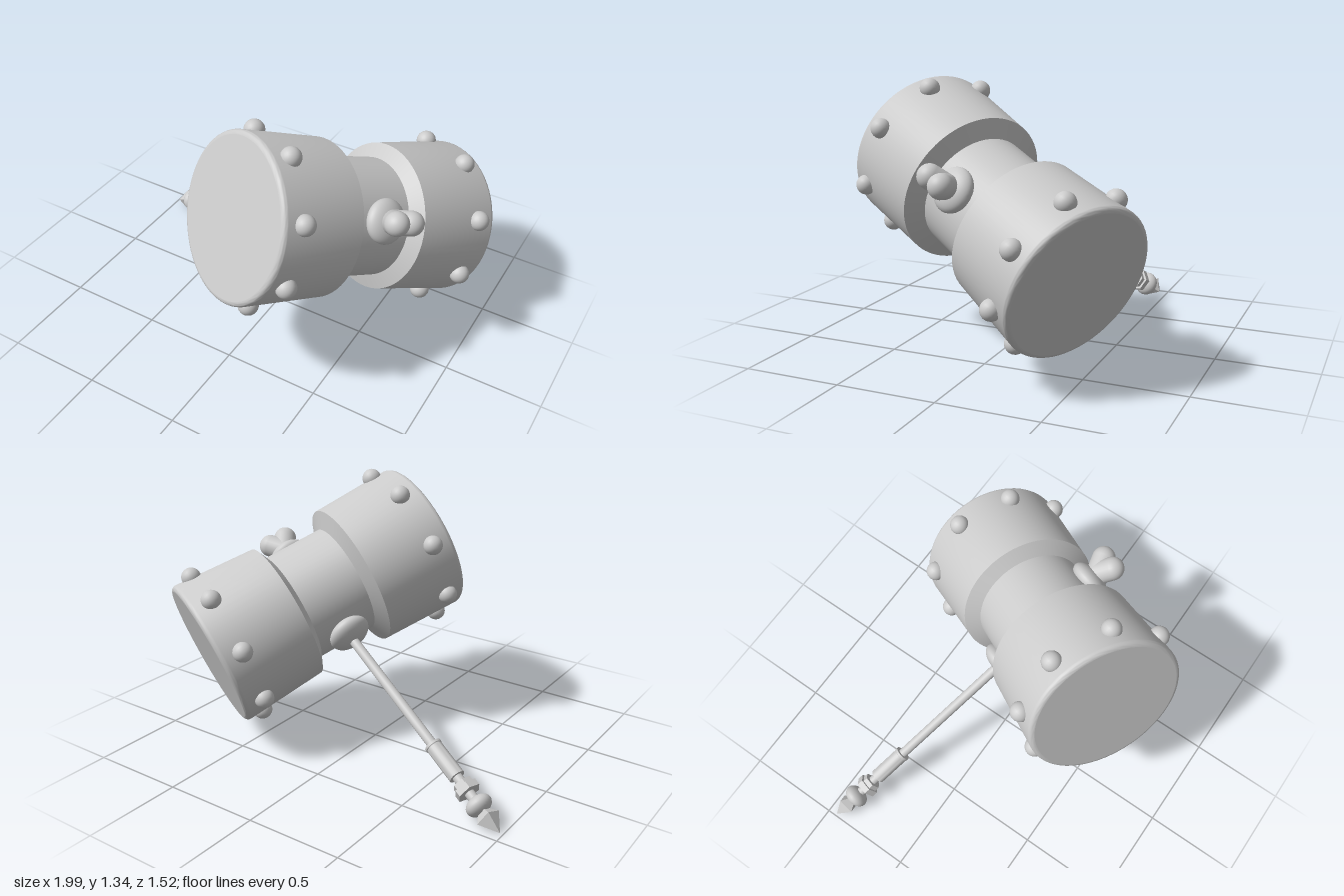
import * as THREE from 'three';
import { toCreasedNormals } from 'three/addons/utils/BufferGeometryUtils.js';

const smooth = new THREE.MeshStandardMaterial({ color: 0xcccccc });
const faceted = new THREE.MeshStandardMaterial({ color: 0xcccccc, flatShading: true });

function add(parent, name, geometry, material = smooth) {
  const mesh = new THREE.Mesh(geometry, material);
  mesh.name = name;
  parent.add(mesh);
  return mesh;
}

function lathe(points, segments = 64) {
  const profile = points.map(([r, y]) => new THREE.Vector2(r, y));
  return toCreasedNormals(new THREE.LatheGeometry(profile, segments), 0.6);
}

// One striking drum: sloped shoulder at the neck, rounded outer rim, ring of eight studs
function drum(name, inner, outer) {
  const group = new THREE.Group();
  group.name = name;
  const end = 0.66, bevel = 0.025;
  const profile = [[0.285, 0.158], [inner, 0.2]];
  for (let i = 0; i <= 6; i++) {
    const a = (i / 6) * Math.PI / 2;
    profile.push([outer - bevel + bevel * Math.cos(a), end - bevel + bevel * Math.sin(a)]);
  }
  add(group, 'drumBody', lathe(profile));
  const cap = add(group, 'strikingFace', new THREE.CircleGeometry(outer - bevel, 64));
  cap.rotation.x = -Math.PI / 2;
  cap.position.y = end;
  for (let i = 0; i < 8; i++) {
    const a = (i / 8) * Math.PI * 2;
    const stud = add(group, 'stud', new THREE.SphereGeometry(0.05, 20, 14));
    stud.position.set(outer * Math.cos(a), 0.548, outer * Math.sin(a));
  }
  return group;
}

export function createModel() {
  const model = new THREE.Group();
  model.name = 'hammer';

  // Local frame: x runs along the handle, y along the head
  const hammer = new THREE.Group();
  hammer.name = 'tiltedHammer';
  const handleAxis = new THREE.Vector3(0.856, 0.436, 0.278).normalize();
  const headAxis = new THREE.Vector3(-0.441, 0.361, 0.821);
  headAxis.addScaledVector(handleAxis, -headAxis.dot(handleAxis)).normalize();
  const sideAxis = new THREE.Vector3().crossVectors(handleAxis, headAxis);
  hammer.quaternion.setFromRotationMatrix(
    new THREE.Matrix4().makeBasis(handleAxis, headAxis, sideAxis));
  hammer.position.set(0.367, 0.74, -0.003);
  model.add(hammer);

  // Head
  add(hammer, 'neck', new THREE.CylinderGeometry(0.295, 0.295, 0.42, 64, 1, true));
  hammer.add(drum('frontDrum', 0.386, 0.404));
  const backDrum = drum('backDrum', 0.368, 0.391);
  backDrum.rotation.z = Math.PI;
  hammer.add(backDrum);

  // Round collars where the handle passes through the neck
  for (const side of [-1, 1]) {
    const collar = add(hammer, 'collar', new THREE.SphereGeometry(0.11, 32, 20));
    collar.scale.x = 0.52;
    collar.position.x = side * 0.31;
  }

  // Two-lobed knob on the far side
  for (const side of [-1, 1]) {
    const from = new THREE.Vector3(0.365, 0, 0);
    const to = new THREE.Vector3(0.435, side * 0.046, 0);
    const along = to.clone().sub(from);
    const lobe = add(hammer, 'knobLobe', new THREE.CapsuleGeometry(0.06, along.length(), 10, 24));
    lobe.position.copy(from).add(to).multiplyScalar(0.5);
    lobe.quaternion.setFromUnitVectors(new THREE.Vector3(0, 1, 0), along.normalize());
  }

  // Handle, built along its own y, which points away from the head
  const handle = new THREE.Group();
  handle.name = 'handle';
  handle.rotation.set(0, 0.007, Math.PI / 2 + 0.01);
  handle.position.z = 0.01;
  hammer.add(handle);
  const rod = add(handle, 'rod', new THREE.CylinderGeometry(0.025, 0.025, 1.25, 24));
  rod.position.y = 0.845;
  add(handle, 'grip', lathe([
    [0, 1.07], [0.043, 1.07], [0.043, 1.082], [0.04, 1.085], [0.04, 1.27], [0, 1.27],
  ], 24));
  for (const [radius, height, y] of [[0.05, 0.026, 1.32], [0.063, 0.034, 1.35]]) {
    const nut = add(handle, 'hexNut', new THREE.CylinderGeometry(radius, radius, height, 6), faceted);
    nut.position.y = y;
  }
  const bead = add(handle, 'bead', new THREE.SphereGeometry(0.066, 24, 16));
  bead.scale.y = 0.65;
  bead.position.y = 1.44;

  // Four-sided pointed tip
  const tipBack = add(handle, 'tipBack', new THREE.CylinderGeometry(0.06, 0.012, 0.055, 4), faceted);
  tipBack.position.y = 1.4825;
  const tipPoint = add(handle, 'tipPoint', new THREE.ConeGeometry(0.06, 0.09, 4), faceted);
  tipPoint.position.y = 1.555;

  return model;
}
